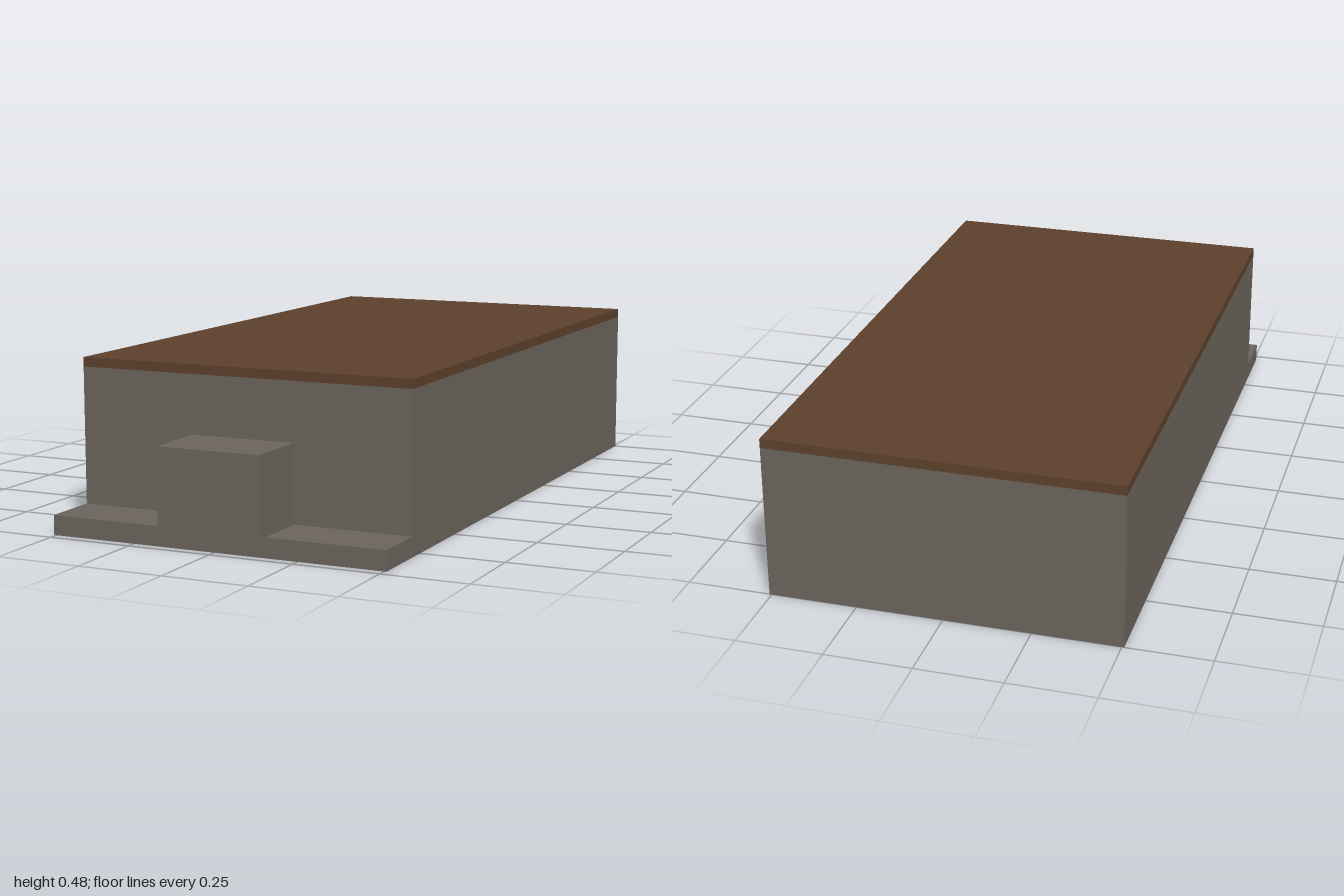
import * as THREE from 'three';

export function createModel() {
  const model = new THREE.Group();
  const stone = new THREE.MeshStandardMaterial({ color: 0x6b635c });
  stone.name = 'grey stone';
  const wood = new THREE.MeshStandardMaterial({ color: 0x5c402b });
  wood.name = 'brown wood';

  // Box given by its low and high corner on each axis
  function addBox(name, material, [x0, x1], [y0, y1], [z0, z1]) {
    const geometry = new THREE.BoxGeometry(x1 - x0, y1 - y0, z1 - z0);
    const mesh = new THREE.Mesh(geometry, material);
    mesh.name = name;
    mesh.position.set((x0 + x1) / 2, (y0 + y1) / 2, (z0 + z1) / 2);
    model.add(mesh);
  }

  const width = [-0.507, 0.507];

  // Base slab reaching forward as a ledge
  addBox('baseSlab', stone, width, [0, 0.057], [-1, 0.972]);
  // Main body and its thin top
  addBox('body', stone, width, [0.057, 0.453], [-1, 0.802]);
  addBox('topPanel', wood, width, [0.453, 0.48], [-1, 0.802]);
  // Block on the ledge, slightly overhanging its front edge
  addBox('frontBlock', stone, [-0.156, 0.156], [0.057, 0.283], [0.802, 1]);

  return model;
}
